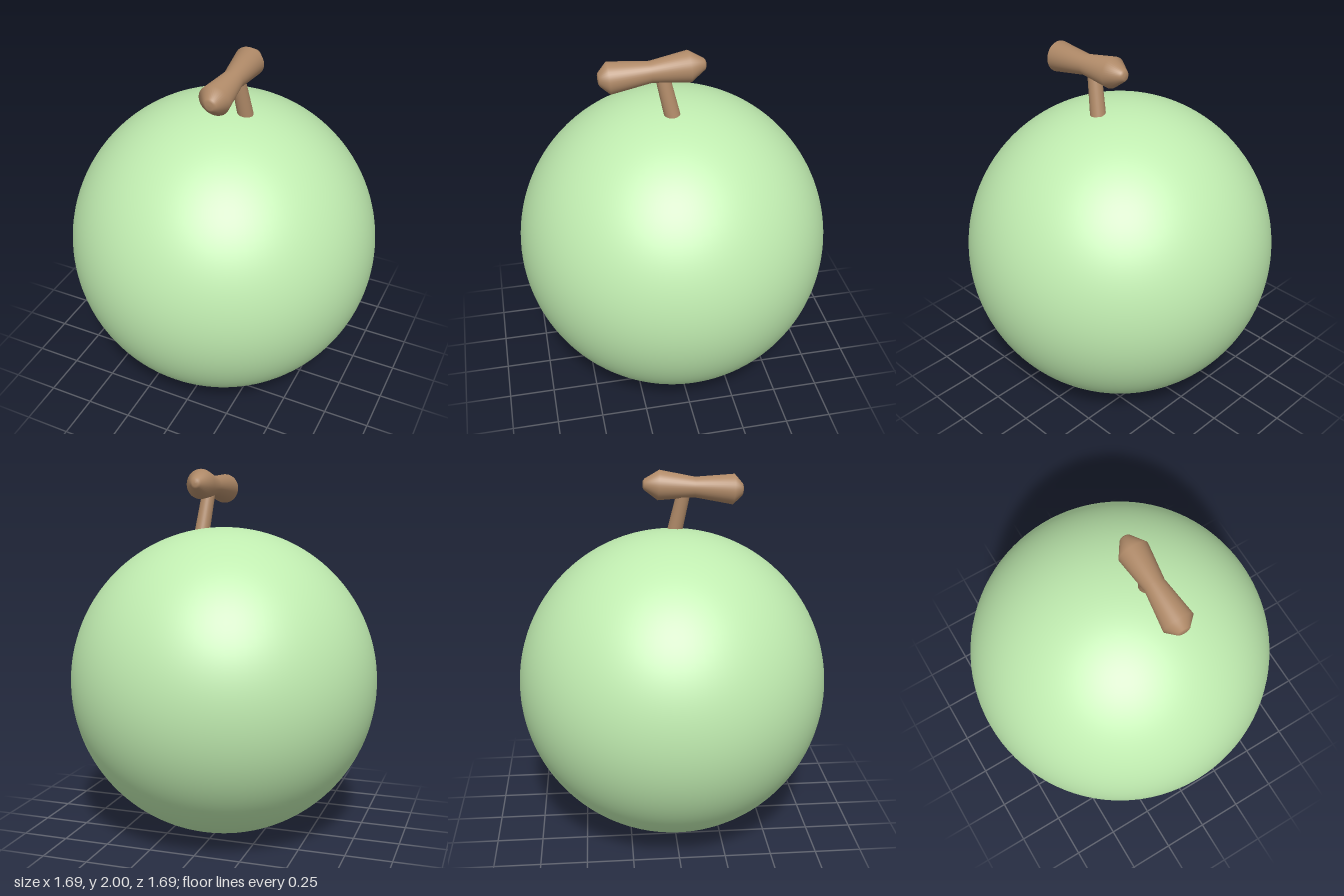
import * as THREE from 'three';

const UP = new THREE.Vector3(0, 1, 0);

// Lays a geometry built along y onto the line from a to b, centred between them
function alongLine(mesh, a, b) {
  mesh.position.copy(a).add(b).multiplyScalar(0.5);
  mesh.quaternion.setFromUnitVectors(UP, b.clone().sub(a).normalize());
  return mesh;
}

export function createModel() {
  const group = new THREE.Group();
  const rind = new THREE.MeshStandardMaterial({ color: 0xc0ecb0 });
  const wood = new THREE.MeshStandardMaterial({ color: 0xb08a68 });

  // Round melon body
  const fruit = new THREE.Mesh(new THREE.SphereGeometry(0.843, 96, 64), rind);
  fruit.name = 'fruit';
  fruit.position.y = 0.845;
  group.add(fruit);

  // Short leaning stem, slightly sunk into the fruit
  const stemBottom = new THREE.Vector3(0.133, 1.665, 0.025);
  const stemTop = new THREE.Vector3(0.109, 1.89, 0.074);
  const stem = new THREE.Mesh(
    new THREE.CylinderGeometry(0.036, 0.041, stemBottom.distanceTo(stemTop), 32), wood);
  stem.name = 'stem';
  group.add(alongLine(stem, stemBottom, stemTop));

  // Crossbar: narrow waist, flared ends and blunt tips, from back to front
  const barBack = new THREE.Vector3(0.111, 1.924, -0.148);
  const barFront = new THREE.Vector3(0.107, 1.887, 0.391);
  const half = barBack.distanceTo(barFront) / 2;
  const profile = [
    [0, -half], [0.018, -half + 0.001], [0.03, -half + 0.009], [0.08, -half + 0.085],
    [0.054, 0.008],
    [0.081, half - 0.053], [0.034, half - 0.006], [0.022, half - 0.001], [0, half],
  ].map(([r, y]) => new THREE.Vector2(r, y));
  const crossbar = new THREE.Mesh(new THREE.LatheGeometry(profile, 40), wood);
  crossbar.name = 'crossbar';
  group.add(alongLine(crossbar, barBack, barFront));

  return group;
}
